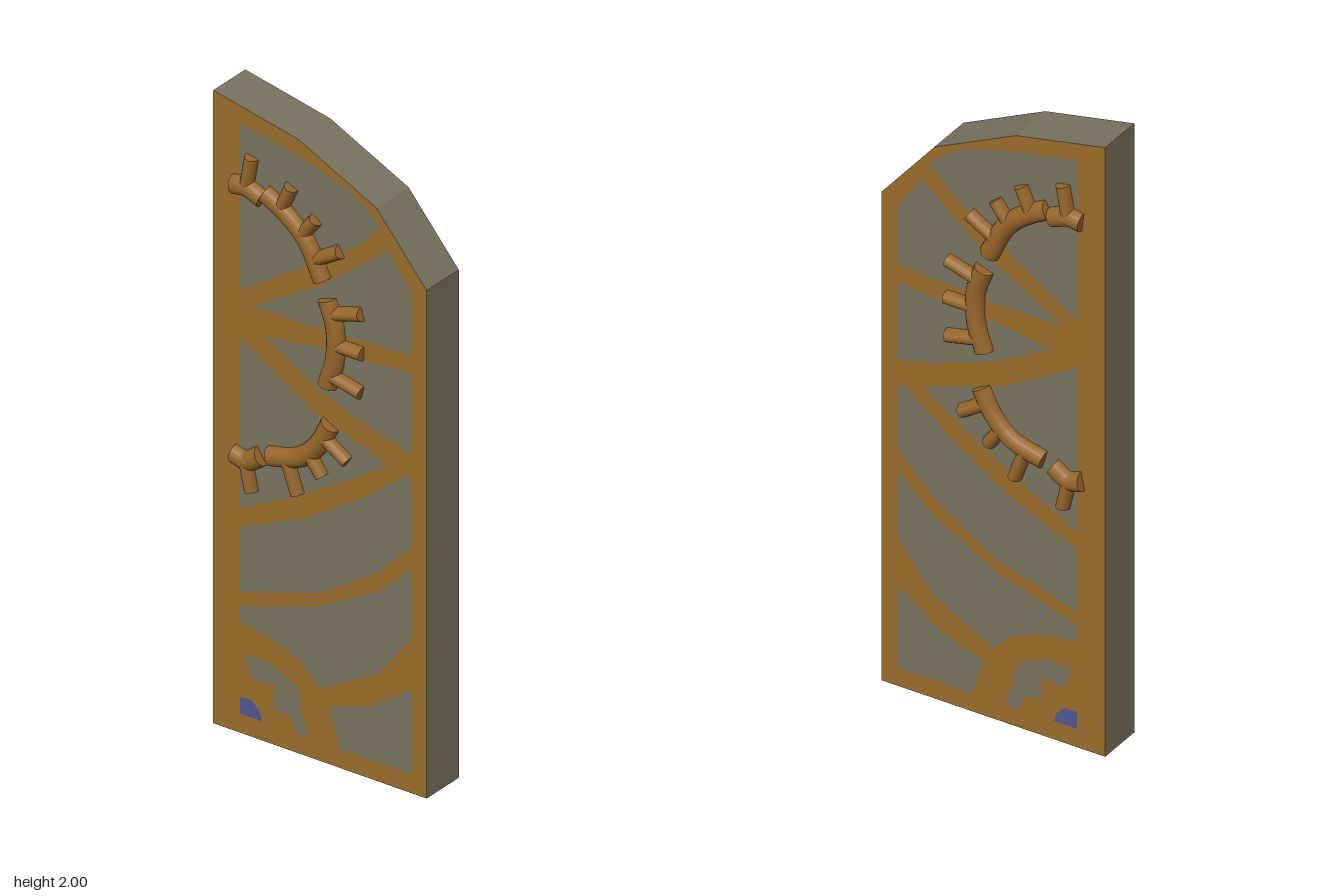
import * as THREE from 'three';

const mat = (name, color, side = THREE.FrontSide) => {
  const m = new THREE.MeshStandardMaterial({ color, side });
  m.name = name;
  return m;
};

const HALF = 0.075; // half of the panel's depth

// Outline of the gate leaf, anticlockwise from the lower left
const OUTLINE = [[-0.368, 0], [0.368, 0], [0.368, 1.605], [0.195, 1.81], [-0.075, 1.94], [-0.368, 2]];

// Stone fields between the bronze ribs
const FIELDS = {
  topField: [[-0.275, 1.925], [-0.08, 1.89], [0.105, 1.835], [0.21, 1.755], [0.13, 1.67], [-0.03, 1.56], [-0.275, 1.4]],
  upperWedge: [[-0.23, 1.365], [0, 1.5], [0.2, 1.66], [0.235, 1.69], [0.317, 1.58], [0.317, 1.385], [0, 1.365]],
  middleWedge: [[-0.19, 1.28], [0, 1.305], [0.317, 1.325], [0.317, 1.07], [0.2, 1.1], [0, 1.17]],
  lowerWedge: [[-0.275, 1.245], [-0.03, 1.1], [0.235, 1.01], [0.1, 0.92], [-0.1, 0.8], [-0.275, 0.71]],
  upperSweep: [[-0.275, 0.65], [-0.05, 0.75], [0.15, 0.88], [0.3, 1], [0.317, 0.98], [0.317, 0.78], [0.2, 0.66], [0, 0.53], [-0.275, 0.445]],
  lowerSweep: [[-0.275, 0.4], [-0.02, 0.48], [0.2, 0.6], [0.317, 0.71], [0.317, 0.49], [0.2, 0.34], [0, 0.23], [-0.06, 0.29], [-0.15, 0.33], [-0.275, 0.35]],
  cornerField: [[0.03, 0.18], [0.18, 0.23], [0.317, 0.33], [0.317, 0.06], [0.07, 0.06]],
  hubField: [[-0.26, 0.25], [-0.18, 0.255], [-0.08, 0.21], [-0.06, 0.12], [-0.04, 0.06], [-0.085, 0.06], [-0.1, 0.11], [-0.16, 0.115], [-0.155, 0.19], [-0.23, 0.18]],
};
const JEWEL = [[-0.275, 0.06], [-0.2, 0.06], [-0.205, 0.085], [-0.235, 0.115], [-0.275, 0.115]];

// Gear ring pieces: spine points and the teeth on them
const GEARS = [
  { spine: [[-0.295, 1.73], [-0.25, 1.735], [-0.195, 1.715]], teeth: [[-0.25, 1.735, -0.232, 1.835]] },
  { spine: [[-0.185, 1.735], [-0.12, 1.7], [-0.045, 1.635], [0.012, 1.525]],
    teeth: [[-0.13, 1.705, -0.095, 1.785], [-0.06, 1.645, -0.01, 1.71], [-0.01, 1.585, 0.075, 1.635]] },
  { spine: [[0.028, 1.47], [0.055, 1.39], [0.055, 1.29], [0.028, 1.2]],
    teeth: [[0.045, 1.43, 0.148, 1.46], [0.058, 1.336, 0.152, 1.336], [0.045, 1.235, 0.148, 1.212]] },
  { spine: [[0.038, 1.077], [-0.005, 0.997], [-0.07, 0.938], [-0.17, 0.91]],
    teeth: [[0.016, 1.034, 0.1, 0.98], [-0.035, 0.97, 0.012, 0.905], [-0.11, 0.925, -0.073, 0.822]] },
  { spine: [[-0.295, 0.88], [-0.25, 0.87], [-0.2, 0.9]], teeth: [[-0.252, 0.87, -0.232, 0.78]] },
];

const toShape = (pts, s) => new THREE.Shape(pts.map(([x, y]) => new THREE.Vector2(x * s, y)));

// Round bar with closed ends along a path
function bar(points, radius, steps) {
  const path = new THREE.CatmullRomCurve3(points.map(([x, y]) => new THREE.Vector3(x, y, 0)));
  const section = new THREE.Shape().absarc(0, 0, radius, 0, Math.PI * 2);
  return new THREE.ExtrudeGeometry(section, { steps, curveSegments: 10, extrudePath: path });
}

export function createModel() {
  const bronze = mat('bronze', 0x9a6c2b, THREE.DoubleSide);
  const stone = mat('stone', 0x77735f, THREE.DoubleSide);
  const jewelBlue = mat('jewelBlue', 0x50568f, THREE.DoubleSide);
  const gearBronze = mat('gearBronze', 0x96652a);

  const model = new THREE.Group();
  model.name = 'gateLeaf';
  const add = (parent, name, geometry, material) => {
    const mesh = new THREE.Mesh(geometry, material);
    mesh.name = name;
    parent.add(mesh);
    return mesh;
  };

  // Edge walls, open at the bottom
  const walls = [];
  for (let i = 1; i < OUTLINE.length; i++) {
    const [ax, ay] = OUTLINE[i];
    const [bx, by] = OUTLINE[(i + 1) % OUTLINE.length];
    const a = [ax, ay, HALF], b = [ax, ay, -HALF], c = [bx, by, -HALF], d = [bx, by, HALF];
    walls.push(...a, ...b, ...c, ...a, ...c, ...d);
  }
  const wallGeometry = new THREE.BufferGeometry();
  wallGeometry.setAttribute('position', new THREE.Float32BufferAttribute(walls, 3));
  wallGeometry.computeVertexNormals();
  add(model, 'edgeWalls', wallGeometry, stone);

  // Both faces: the back one is mirrored in x, then turned around
  for (const s of [1, -1]) {
    const face = new THREE.Group();
    face.name = s > 0 ? 'frontFace' : 'backFace';
    face.rotation.y = s > 0 ? 0 : Math.PI;
    model.add(face);

    // Bronze frame and ribs with the fields cut out, then filled
    const frame = toShape(OUTLINE, s);
    frame.holes = [...Object.values(FIELDS), JEWEL].map((pts) => toShape(pts, s));
    add(face, 'ribFrame', new THREE.ShapeGeometry(frame), bronze).position.z = HALF;
    for (const [name, pts] of Object.entries(FIELDS)) {
      add(face, name, new THREE.ShapeGeometry(toShape(pts, s)), stone).position.z = HALF;
    }
    add(face, 'jewel', new THREE.ShapeGeometry(toShape(JEWEL, s)), jewelBlue).position.z = HALF;

    // Raised gear ring, half sunk into the face
    GEARS.forEach(({ spine, teeth }, i) => {
      const gear = new THREE.Group();
      gear.name = `gearPiece${i + 1}`;
      gear.position.z = HALF;
      face.add(gear);
      add(gear, 'gearRim', bar(spine.map(([x, y]) => [x * s, y]), 0.03, 10), gearBronze);
      for (const [x0, y0, x1, y1] of teeth) {
        const tooth = add(gear, 'gearTooth', bar([[x0 * s, y0], [x1 * s, y1]], 0.021, 1), gearBronze);
        tooth.scale.z = 1.35;
      }
    });
  }
  return model;
}
